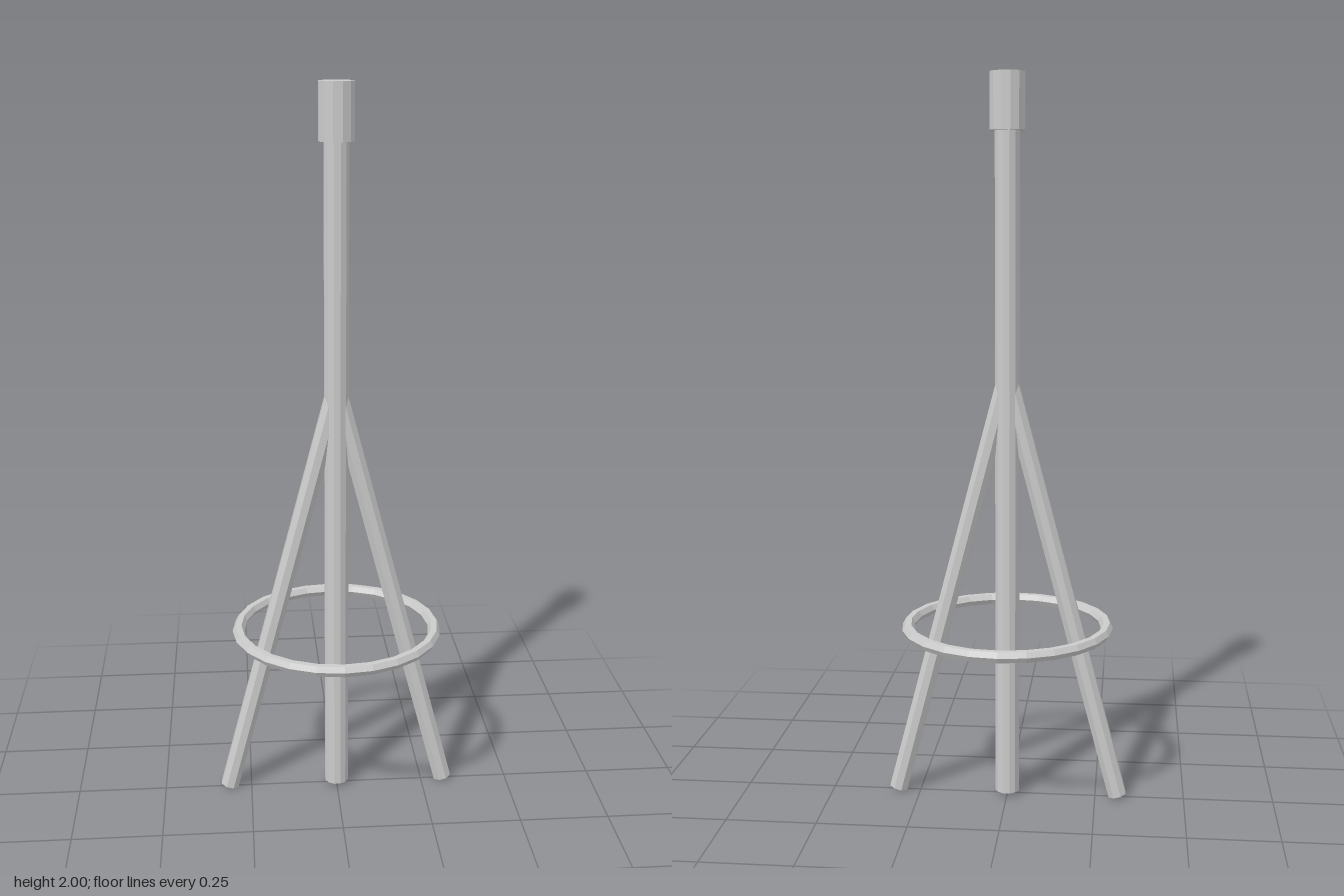
import * as THREE from 'three';

const material = new THREE.MeshStandardMaterial({ color: 0xcccccc, flatShading: true });

// Faceted rod between two points, turned so that a flat side faces the front
function rod(name, from, to, radius, sides) {
  const axis = to.clone().sub(from);
  const geometry = new THREE.CylinderGeometry(radius, radius, axis.length(), sides);
  geometry.rotateY(Math.PI / sides);
  const mesh = new THREE.Mesh(geometry, material);
  mesh.name = name;
  mesh.position.copy(from).add(to).multiplyScalar(0.5);
  mesh.quaternion.setFromUnitVectors(new THREE.Vector3(0, 1, 0), axis.normalize());
  return mesh;
}

export function createModel() {
  const group = new THREE.Group();
  group.name = 'polestand';
  const v = (x, y) => new THREE.Vector3(x, y, 0);

  // Upright pole with a thicker cap
  group.add(rod('pole', v(0, 0.01), v(0, 1.86), 0.034, 12));
  group.add(rod('cap', v(0, 1.85), v(0, 2), 0.048, 12));

  // Mirrored splayed legs meeting inside the pole
  for (const [name, side] of [['leftLeg', 1], ['rightLeg', -1]]) {
    group.add(rod(name, v(side * 0.313, 0.006), v(side * 0.004, 1.185), 0.027, 8));
  }

  // Horizontal brace ring
  const ring = new THREE.Mesh(new THREE.TorusGeometry(0.278, 0.017, 6, 24), material);
  ring.name = 'ring';
  ring.rotation.x = Math.PI / 2;
  ring.position.y = 0.495;
  group.add(ring);

  return group;
}
